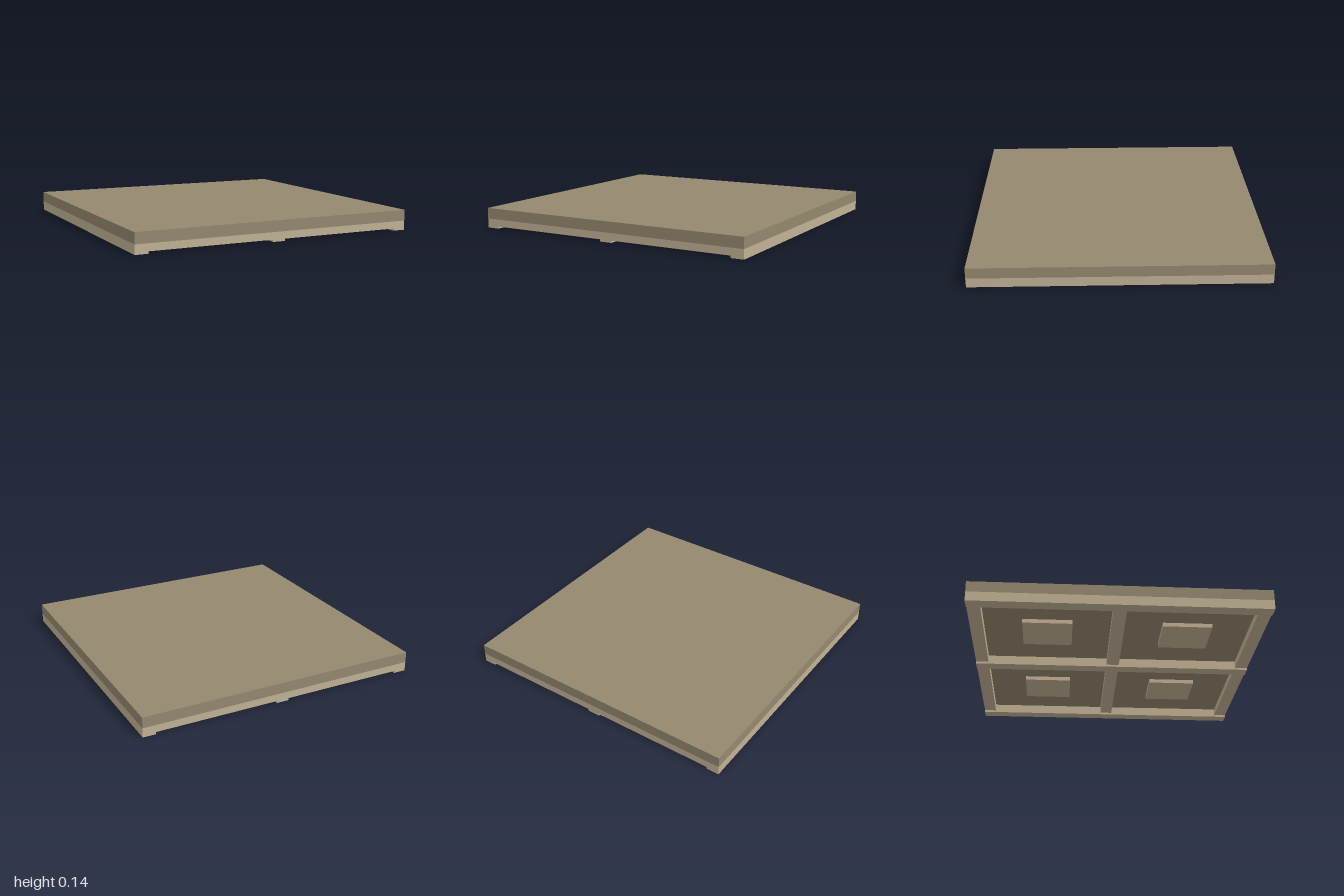
import * as THREE from 'three';

const HEIGHT = 0.14;      // top of the panel
const SLAB_BOTTOM = 0.065;
const BEAM = 0.09;        // beam width
const CROSS_BOTTOM = 0.015;
const BLOCK_BOTTOM = 0.037;

export function createModel() {
  const model = new THREE.Group();
  model.name = 'cofferedCeilingPanel';

  const slabBrown = new THREE.MeshStandardMaterial({ name: 'slab brown', color: 0x94886f });
  const beamBeige = new THREE.MeshStandardMaterial({ name: 'beam beige', color: 0xc1b195 });

  // Box spanning the heights y0 to y1, centred on x and z
  function addBox(name, material, width, depth, y0, y1, x, z) {
    const mesh = new THREE.Mesh(new THREE.BoxGeometry(width, y1 - y0, depth), material);
    mesh.name = name;
    mesh.position.set(x, (y0 + y1) / 2, z);
    model.add(mesh);
  }

  // Ceiling slab
  addBox('slab', slabBrown, 2, 2, SLAB_BOTTOM, HEIGHT, 0, 0);

  // Deep beams from front to back, and shallower cross beams between them
  const edge = 1 - BEAM / 2;
  const bay = (1 + BEAM / 2 - BEAM) / 2 + BEAM / 4 - BEAM / 4;
  const span = edge - BEAM;
  const centre = edge / 2;
  for (const p of [-edge, 0, edge]) {
    addBox('mainBeam', beamBeige, BEAM, 2, 0, SLAB_BOTTOM, p, 0);
    for (const side of [-1, 1]) {
      addBox('crossBeam', beamBeige, span, BEAM, CROSS_BOTTOM, SLAB_BOTTOM, side * centre, p);
    }
  }

  // Raised square block in the middle of each coffer
  for (const sx of [-1, 1]) {
    for (const sz of [-1, 1]) {
      addBox('cofferBlock', beamBeige, 0.33, 0.34, BLOCK_BOTTOM, SLAB_BOTTOM, sx * centre, sz * centre);
    }
  }

  return model;
}
